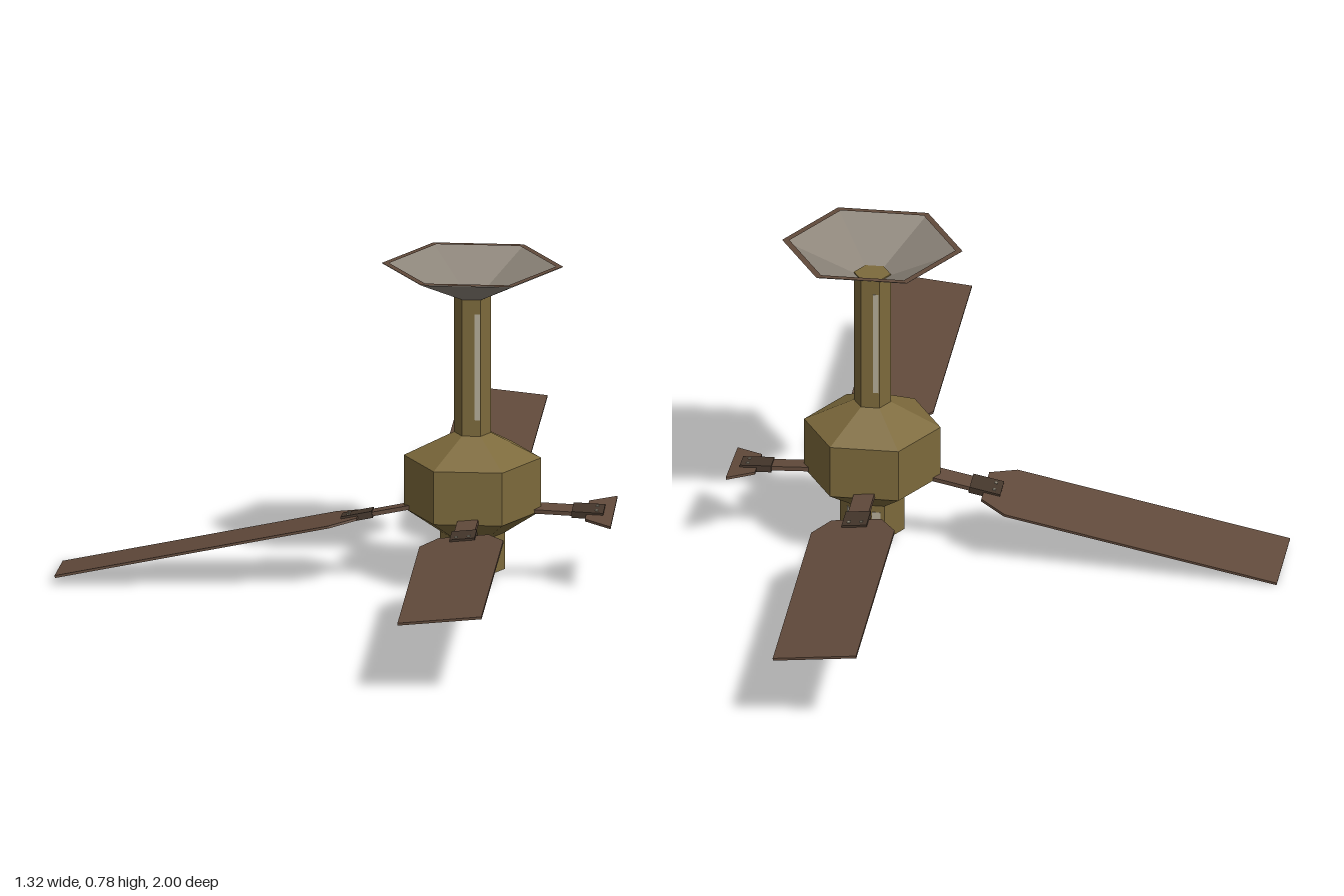
import * as THREE from 'three';

export function createModel() {
  const mat = (name, color, extra = {}) => {
    const m = new THREE.MeshStandardMaterial({ color, flatShading: true, ...extra });
    m.name = name;
    return m;
  };
  const brass = mat('aged brass', 0x7d6a3c, { side: THREE.DoubleSide });
  const grey = mat('canopy grey', 0x8d857a, { side: THREE.DoubleSide });
  const wood = mat('brown wood', 0x614a3b);
  const dark = mat('dark bracket metal', 0x44362b);
  const pale = mat('pale worn metal', 0xb5ad98);

  const root = new THREE.Group();
  const fan = new THREE.Group();
  fan.name = 'ceilingFan';
  fan.position.x = 0.32;
  root.add(fan);

  const add = (parent, name, geometry, material, x = 0, y = 0, z = 0) => {
    const mesh = new THREE.Mesh(geometry, material);
    mesh.name = name;
    mesh.position.set(x, y, z);
    parent.add(mesh);
    return mesh;
  };
  // Six-sided turned part with corners on the x axis
  const hex = (points) => new THREE.LatheGeometry(
    points.map(([r, y]) => new THREE.Vector2(r, y)), 6, Math.PI / 2).toNonIndexed();

  // Open ceiling canopy with a brown inner rim
  add(fan, 'canopy', hex([[0.044, 0.705], [0.215, 0.78]]), grey);
  const rim = new THREE.RingGeometry(0.198, 0.215, 6, 1);
  rim.rotateX(-Math.PI / 2);
  add(fan, 'canopyRim', rim, wood, 0, 0.781, 0);

  // Down rod, motor housing and lower barrel
  add(fan, 'downRod', hex([[0.044, 0.36], [0.044, 0.708], [0, 0.708]]), brass);
  add(fan, 'motorHousing', hex([
    [0, 0.006], [0.077, 0.035], [0.077, 0.125], [0.163, 0.18],
    [0.163, 0.31], [0.044, 0.37], [0, 0.37],
  ]), brass);

  // Worn strips on the flat faces
  const strip = (name, turn, width, height, offset, y, apothem) => {
    const holder = new THREE.Group();
    holder.name = name;
    holder.rotation.y = turn;
    add(holder, name + 'Plate', new THREE.BoxGeometry(width, height, 0.002), pale, offset, y, apothem);
    fan.add(holder);
  };
  for (const turn of [0, Math.PI]) strip('rodStrip', turn, 0.013, 0.26, 0.014, 0.54, 0.0385);
  for (const turn of [0, Math.PI / 3 * 2, Math.PI, -Math.PI / 3]) {
    strip('barrelStrip', turn, 0.02, 0.07, 0.019, 0.073, 0.067);
  }

  // Blade outline runs outwards along +z with a clipped inner end
  const bladeGeometry = (end) => {
    const shape = new THREE.Shape([
      [-0.06, 0.272], [0.06, 0.272], [0.1, 0.335], [0.1, end], [-0.1, end], [-0.1, 0.335],
    ].map(([x, y]) => new THREE.Vector2(x, y)));
    const g = new THREE.ExtrudeGeometry(shape, { depth: 0.006, bevelEnabled: false });
    g.rotateX(Math.PI / 2);
    g.translate(0, 0.003, 0);
    return g;
  };

  // Arms and blades: front, left stub, back, drooping right
  const arms = [
    { name: 'front', turn: 0, droop: 0, end: 1 },
    { name: 'left', turn: Math.PI / 2, droop: 0.04, end: 0.336 },
    { name: 'back', turn: Math.PI, droop: 0, end: 1 },
    { name: 'right', turn: -Math.PI / 2, droop: 0.207, end: 1 },
  ];
  for (const { name, turn, droop, end } of arms) {
    const yaw = new THREE.Group();
    yaw.name = name + 'Arm';
    yaw.position.y = 0.187;
    yaw.rotation.y = turn;
    fan.add(yaw);

    const hinge = new THREE.Group();
    hinge.name = name + 'Hinge';
    hinge.position.z = 0.14;
    hinge.rotation.x = droop;
    yaw.add(hinge);

    const pitched = new THREE.Group();
    pitched.name = name + 'Blade';
    pitched.position.z = -0.14;
    pitched.rotation.z = 0.1;
    hinge.add(pitched);

    add(pitched, 'bladeArm', new THREE.BoxGeometry(0.05, 0.01, 0.14), wood, 0, 0, 0.205);
    add(pitched, 'bladeBracket', new THREE.BoxGeometry(0.06, 0.016, 0.075), dark, 0, 0, 0.275);
    for (const x of [-0.015, 0.015]) {
      add(pitched, 'bracketScrew', new THREE.BoxGeometry(0.007, 0.003, 0.007), pale, x, 0.009, 0.295);
    }
    // A whole blade, or only its broken inner end
    add(pitched, end < 0.5 ? 'brokenBlade' : 'blade', bladeGeometry(end), wood);
  }
  return root;
}
